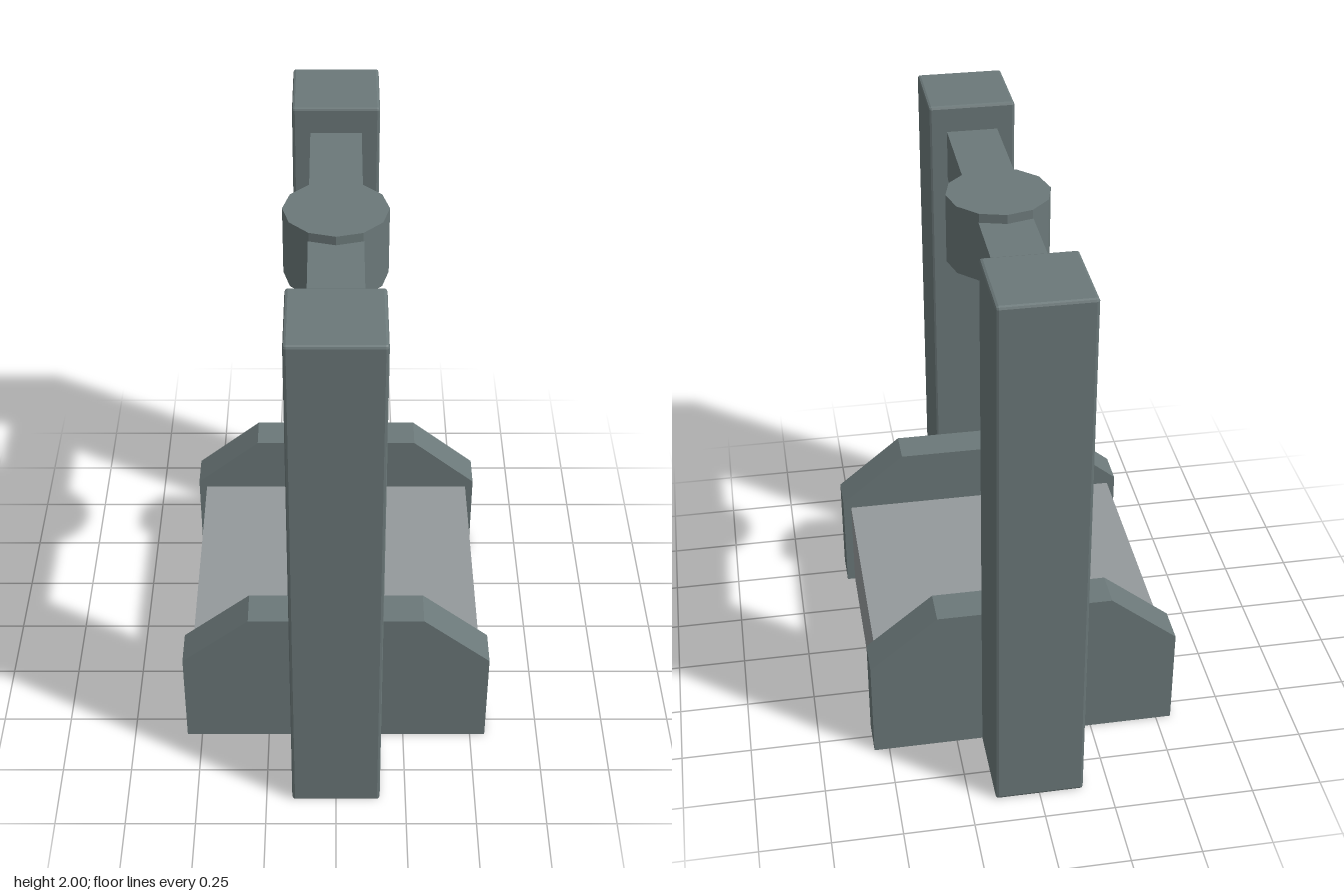
import * as THREE from 'three';
import { RoundedBoxGeometry } from 'three/addons/geometries/RoundedBoxGeometry.js';

export function createModel() {
  const model = new THREE.Group();
  model.name = 'gantryFrame';

  const frameMat = new THREE.MeshStandardMaterial({ color: 0x6b7879 });
  frameMat.name = 'slate grey';
  const deckMat = new THREE.MeshStandardMaterial({ color: 0x94999b });
  deckMat.name = 'light grey';

  const add = (name, geometry, material, x, y, z) => {
    const mesh = new THREE.Mesh(geometry, material);
    mesh.name = name;
    mesh.position.set(x, y, z);
    model.add(mesh);
  };

  // Pillar with narrow flat chamfers on its edges
  const pillar = new RoundedBoxGeometry(0.315, 2, 0.315, 1, 0.01);
  pillar.computeVertexNormals();

  // End plate with sloped shoulders
  const plateDepth = 0.133;
  const outline = new THREE.Shape([
    [-0.555, 0], [0.555, 0], [0.555, 0.385],
    [0.313, 0.585], [-0.313, 0.585], [-0.555, 0.385],
  ].map(([x, y]) => new THREE.Vector2(x, y)));
  const plate = new THREE.ExtrudeGeometry(outline, { depth: plateDepth, bevelEnabled: false });
  plate.translate(0, 0, -plateDepth / 2);

  // Matching pillar and plate at each end
  for (const [end, s] of [['front', 1], ['back', -1]]) {
    add(end + 'Pillar', pillar, frameMat, 0, 1, s * 0.733);
    add(end + 'Plate', plate, frameMat, 0, 0, s * 0.508);
  }

  // Deck between the plates
  add('deck', new THREE.BoxGeometry(1.05, 0.36, 0.884), deckMat, 0, 0.18, 0);

  // Crossbeam joining the pillars
  add('crossbeam', new THREE.BoxGeometry(0.185, 0.187, 1.16), frameMat, 0, 1.808, 0);

  // Twelve-sided hub at the middle of the beam, with flat facets
  const hub = new THREE.CylinderGeometry(0.18, 0.18, 0.25, 12).toNonIndexed();
  hub.computeVertexNormals();
  add('hub', hub, frameMat, 0, 1.809, 0);

  return model;
}
